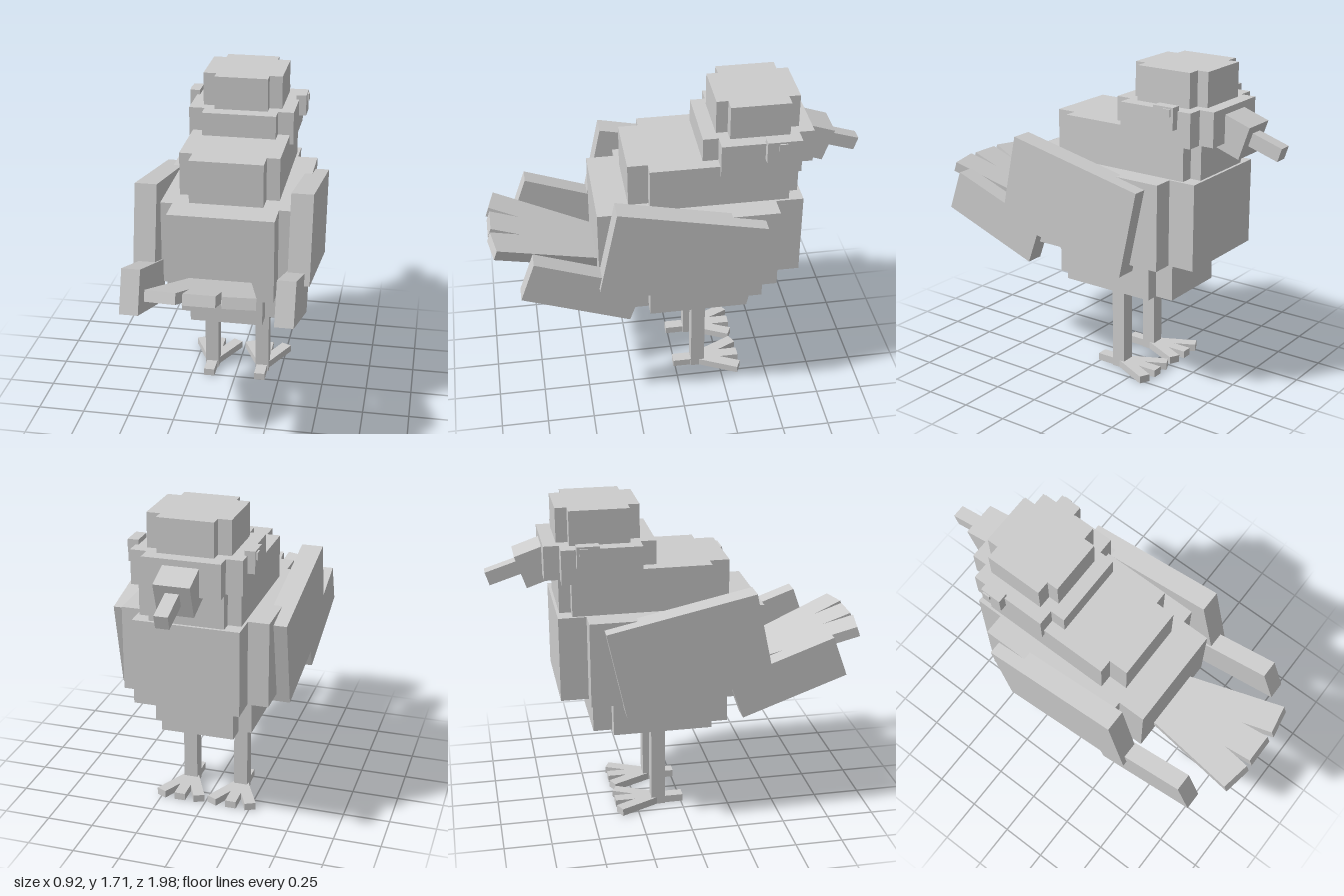
import * as THREE from 'three';

const plumage = new THREE.MeshStandardMaterial({ color: 0xcccccc });
plumage.name = 'plain grey';

// Box centred at (x, y, z), pitched about x
function box(parent, name, size, pos, pitch = 0) {
  const m = new THREE.Mesh(new THREE.BoxGeometry(...size), plumage);
  m.name = name;
  m.position.set(...pos);
  m.rotation.x = pitch;
  parent.add(m);
  return m;
}

// Block with notched corners: extruded plus-shaped outline
function notched(parent, name, y0, y1, wide, wideZ, narrow, narrowZ) {
  const [a0, a1] = wideZ, [b0, b1] = narrowZ;
  const half = [[narrow, b0], [narrow, a0], [wide, a0], [wide, a1], [narrow, a1], [narrow, b1]];
  const outline = [...half, ...half.map(([x, z]) => [-x, z]).reverse()];
  const shape = new THREE.Shape(outline.map(([x, z]) => new THREE.Vector2(x, -z)));
  const geo = new THREE.ExtrudeGeometry(shape, { depth: y1 - y0, bevelEnabled: false });
  geo.rotateX(-Math.PI / 2);
  const m = new THREE.Mesh(geo, plumage);
  m.name = name;
  m.position.set(-0.003, y0, 0);
  parent.add(m);
}

export function createModel() {
  const bird = new THREE.Group();
  bird.name = 'bird';

  // Stacked trunk and head, bottom to top
  notched(bird, 'belly', 0.485, 0.715, 0.265, [-0.38, 0.15], 0.195, [-0.48, 0.25]);
  notched(bird, 'body', 0.715, 1.17, 0.388, [-0.51, 0.27], 0.278, [-0.655, 0.42]);
  notched(bird, 'neck', 1.17, 1.403, 0.265, [-0.58, 0.145], 0.195, [-0.64, 0.25]);
  notched(bird, 'head', 1.35, 1.53, 0.285, [-0.63, -0.215], 0.2, [-0.71, -0.135]);
  notched(bird, 'crown', 1.53, 1.71, 0.215, [-0.58, -0.27], 0.145, [-0.64, -0.21]);

  // Beak, drooping forward
  box(bird, 'beak', [0.185, 0.18, 0.25], [-0.003, 1.405, -0.702], -0.33);
  box(bird, 'beakTip', [0.07, 0.073, 0.25], [-0.003, 1.36, -0.869], -0.31);

  // Tail of three splayed feathers
  const tail = new THREE.Group();
  tail.name = 'tail';
  tail.position.set(-0.003, 0.792, 0.42);
  tail.rotation.x = -0.34;
  bird.add(tail);
  for (const side of [-1, 0, 1]) {
    const feather = new THREE.Group();
    feather.name = 'tailFeather';
    feather.position.x = side * 0.08;
    feather.rotation.y = side * 0.19;
    box(feather, 'featherBlade', [0.16, 0.057, 0.685], [0, 0, 0.2425]);
    tail.add(feather);
  }

  for (const side of [-1, 1]) {
    // Wings and their rear tips
    box(bird, 'wing', [0.115, 0.475, 0.787], [side * 0.4025, 0.983, 0], -0.21);
    box(bird, 'wingTip', [0.095, 0.228, 0.59], [side * 0.384, 0.8125, 0.52], -0.345);

    // Eyes
    box(bird, 'eye', [0.055, 0.115, 0.115], [side * 0.297 - 0.003, 1.4975, -0.4975]);
    box(bird, 'pupil', [0.05, 0.038, 0.042], [side * 0.308 - 0.003, 1.527, -0.52]);

    // Legs and four-toed feet
    const leg = new THREE.Group();
    leg.name = 'leg';
    leg.position.set(side * 0.145 - 0.003, 0, -0.128);
    box(leg, 'shank', [0.075, 0.485, 0.075], [0, 0.2425, 0]);
    for (const [turn, length] of [[-0.45, 0.25], [0, 0.235], [0.45, 0.25], [Math.PI, 0.138]]) {
      const toe = new THREE.Group();
      toe.name = 'toe';
      toe.rotation.y = turn;
      box(toe, 'toeBlock', [0.06, 0.04, length], [0, 0.02, -length / 2]);
      leg.add(toe);
    }
    bird.add(leg);
  }
  return bird;
}
